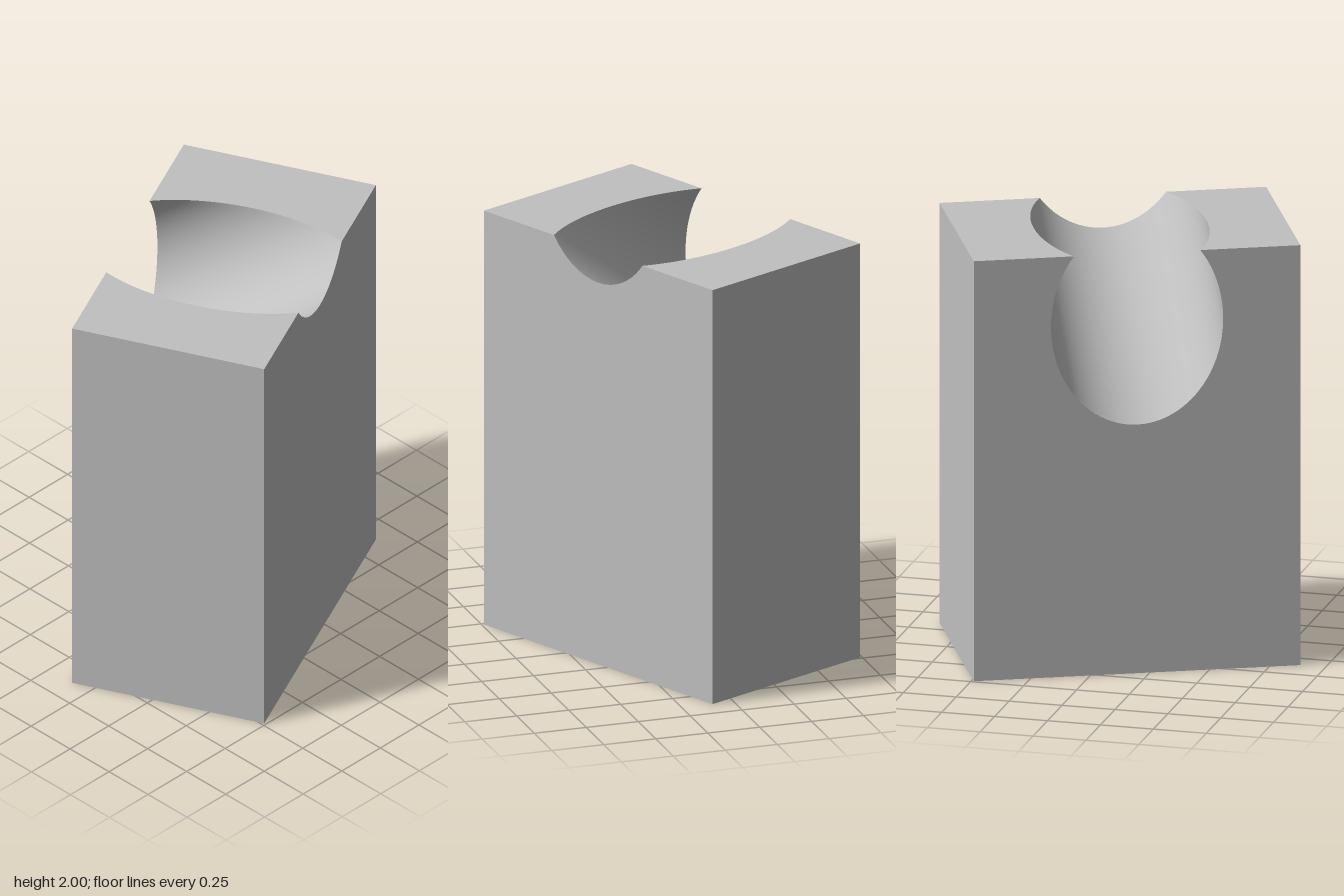
import * as THREE from 'three';

// Block size, and the tilted round groove (axis passes through the top centre)
const W = 0.93, H = 2, D = 1.51;
const R = 0.398;      // groove radius across the block
const RY = 0.486;     // groove radius measured vertically
const SLOPE = 0.71;   // rise of the groove axis along x
const STEPS = 64;

// Point of the groove at position x, k running 0..1 from back rim to front rim
function groovePoint(x, k) {
  const a = Math.asin(-SLOPE * x / RY);
  const phi = Math.PI - a + k * (Math.PI + 2 * a);
  return new THREE.Vector3(x, H + SLOPE * x + RY * Math.sin(phi), R * Math.cos(phi));
}

export function createModel() {
  const grey = new THREE.MeshStandardMaterial({ color: 0xc0c0c0 });
  grey.name = 'grey';
  const model = new THREE.Group();
  model.name = 'groovedBlock';
  const add = (name, geometry) => {
    const mesh = new THREE.Mesh(geometry, grey);
    mesh.name = name;
    model.add(mesh);
  };

  // Plain walls and base
  add('frontWall', new THREE.PlaneGeometry(W, H).translate(0, H / 2, D / 2));
  add('backWall', new THREE.PlaneGeometry(W, H).rotateY(Math.PI).translate(0, H / 2, -D / 2));
  add('base', new THREE.PlaneGeometry(W, D).rotateX(Math.PI / 2));

  // Side walls notched by the groove
  for (const side of [-1, 1]) {
    const x = side * W / 2;
    const pts = [[D / 2, H], [-D / 2, H], [-D / 2, 0], [D / 2, 0], [D / 2, H]]
      .slice(1, 5).map(([z, y]) => new THREE.Vector2(z, y));
    for (let i = STEPS; i >= 0; i--) {
      const p = groovePoint(x, i / STEPS);
      pts.push(new THREE.Vector2(p.z, p.y));
    }
    const wall = new THREE.ShapeGeometry(new THREE.Shape(pts));
    add(side < 0 ? 'rightWall' : 'leftWall', wall.rotateY(side * Math.PI / 2).translate(x, 0, 0));
  }

  // Two top faces with curved inner rims
  for (const turn of [0, Math.PI]) {
    const pts = [new THREE.Vector2(W / 2, D / 2), new THREE.Vector2(-W / 2, D / 2)];
    for (let i = 0; i <= STEPS; i++) {
      const x = (i / STEPS - 0.5) * W;
      pts.push(new THREE.Vector2(x, groovePoint(x, 1).z));
    }
    const top = new THREE.ShapeGeometry(new THREE.Shape(pts));
    add(turn ? 'frontTop' : 'backTop', top.rotateX(-Math.PI / 2).rotateY(turn).translate(0, H, 0));
  }

  // Smooth groove surface: a flat grid bent onto the tilted cylinder
  const groove = new THREE.PlaneGeometry(1, 1, STEPS, STEPS);
  const pos = groove.attributes.position;
  for (let i = 0; i < pos.count; i++) {
    const p = groovePoint(pos.getY(i) * W, pos.getX(i) + 0.5);
    pos.setXYZ(i, p.x, p.y, p.z);
  }
  groove.computeVertexNormals();
  add('groove', groove);

  model.rotation.y = THREE.MathUtils.degToRad(25);
  const root = new THREE.Group();
  root.name = 'model';
  root.add(model);
  return root;
}
